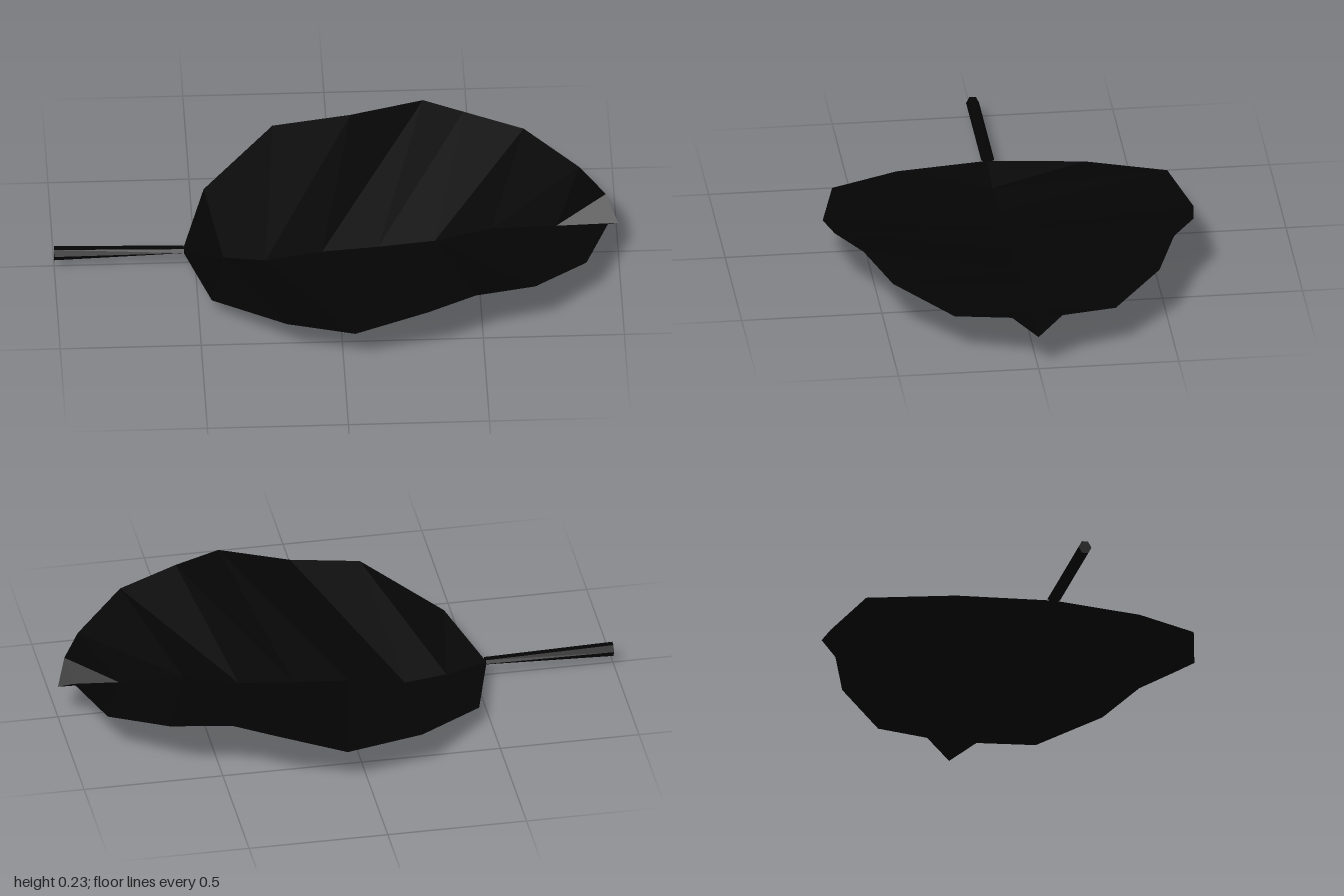
import * as THREE from 'three';

const black = new THREE.MeshStandardMaterial({ color: 0x040404, side: THREE.DoubleSide, flatShading: true });
black.name = 'near black';

// Midrib from the stem to the tip: x, y
const MIDRIB = [
  [-0.545, 0.055], [-0.4, 0.02], [-0.25, 0.003], [-0.05, 0.035], [0.15, 0.05],
  [0.35, 0.07], [0.55, 0.118], [0.78, 0.122], [0.93, 0.126], [1, 0.128],
];

// Rim of each half, matched to the midrib: x, y, distance from the midrib
const FRONT_RIM = [
  [-0.545, 0.06, 0], [-0.455, 0.078, 0.335], [-0.2, 0.155, 0.595], [0.04, 0.15, 0.657], [0.3, 0.228, 0.645],
  [0.47, 0.235, 0.562], [0.685, 0.21, 0.482], [0.875, 0.165, 0.285], [0.96, 0.19, 0.09], [1, 0.128, 0],
];
const BACK_RIM = [
  [-0.545, 0.06, 0], [-0.455, 0.078, 0.335], [-0.2, 0.155, 0.6], [0.08, 0.15, 0.66], [0.335, 0.228, 0.63],
  [0.475, 0.235, 0.545], [0.685, 0.21, 0.468], [0.875, 0.165, 0.29], [0.96, 0.19, 0.09], [1, 0.128, 0],
];

// One half of the blade, a folded strip between midrib and rim
function leafHalf(name, rim, side) {
  const positions = [];
  const triangle = (a, b, c) => positions.push(...a, ...(side > 0 ? [...b, ...c] : [...c, ...b]));
  const mid = MIDRIB.map(([x, y]) => [x, y, 0]);
  const edge = rim.map(([x, y, d]) => [x, y, d * side]);
  const last = mid.length - 1;
  for (let i = 0; i < last; i++) {
    if (i > 0) triangle(mid[i], edge[i], edge[i + 1]);
    if (i === 0) triangle(mid[0], edge[1], mid[1]);
    else if (i < last - 1) triangle(mid[i], edge[i + 1], mid[i + 1]);
    else triangle(mid[i], edge[last], mid[last]);
  }
  const geometry = new THREE.BufferGeometry();
  geometry.setAttribute('position', new THREE.Float32BufferAttribute(positions, 3));
  geometry.computeVertexNormals();
  const mesh = new THREE.Mesh(geometry, black);
  mesh.name = name;
  return mesh;
}

// Six-sided stem that flattens towards the blade
function leafStem() {
  const geometry = new THREE.CylinderGeometry(1, 1, 0.46, 6);
  geometry.rotateZ(-Math.PI / 2);
  const p = geometry.attributes.position;
  for (let i = 0; i < p.count; i++) {
    const outer = p.getX(i) < 0;
    p.setY(i, p.getY(i) * (outer ? 0.026 : 0.01) + (outer ? 0.058 : 0.061));
    p.setZ(i, p.getZ(i) * 0.023);
    p.setX(i, p.getX(i) - 0.77);
  }
  geometry.computeVertexNormals();
  const mesh = new THREE.Mesh(geometry, black);
  mesh.name = 'stem';
  return mesh;
}

export function createModel() {
  const leaf = new THREE.Group();
  leaf.name = 'leaf';
  leaf.add(
    leafHalf('frontBlade', FRONT_RIM, 1),
    leafHalf('backBlade', BACK_RIM, -1),
    leafStem(),
  );
  return leaf;
}
